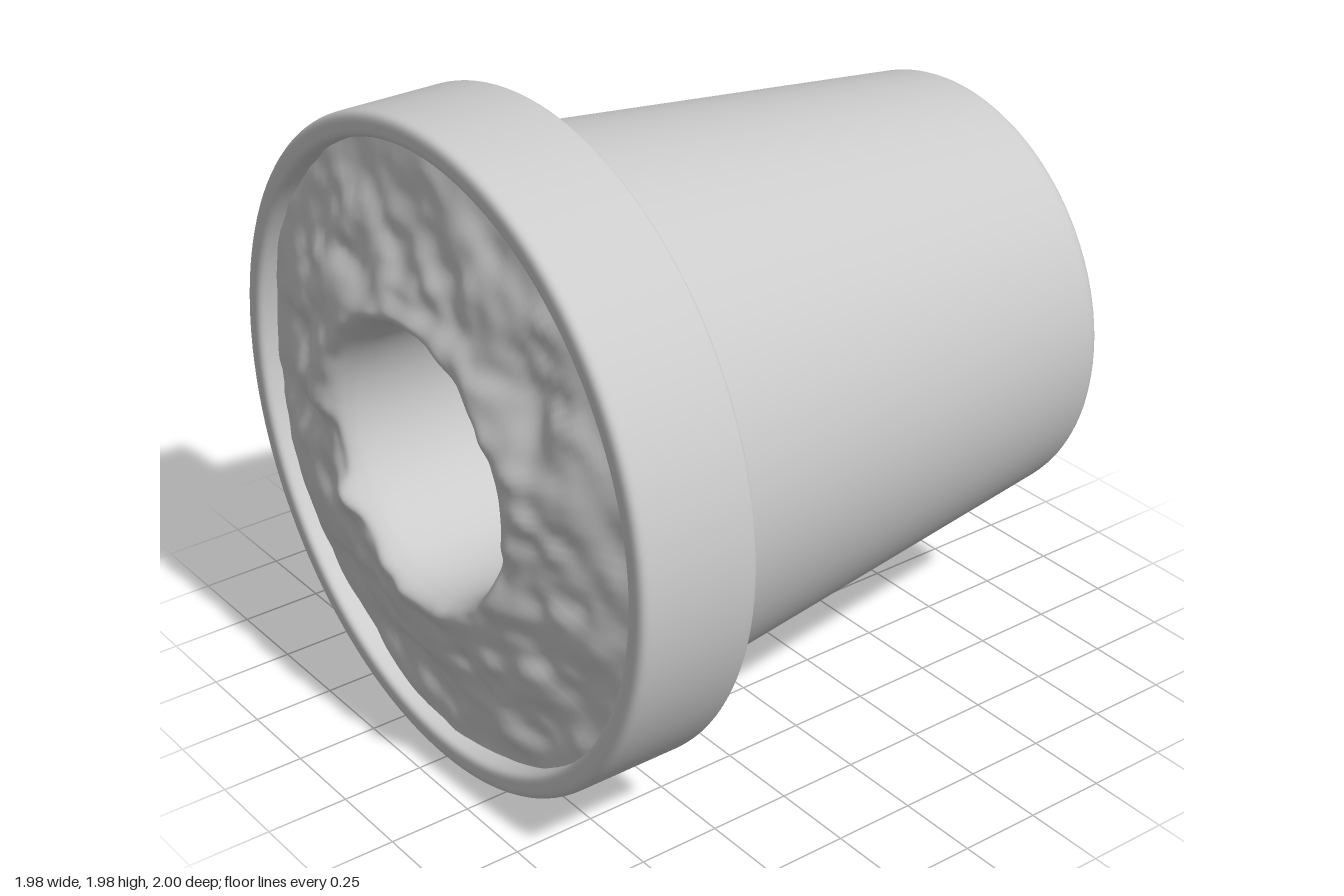
import * as THREE from 'three';
import { mergeVertices } from 'three/addons/utils/BufferGeometryUtils.js';

const RADIUS = 0.99;
const mat = () => new THREE.MeshStandardMaterial({ color: 0xcccccc });

// Profile of [radius, height, cornerRadius] points with rounded corners and support points
function roundedProfile(points) {
  const v = points.map(p => new THREE.Vector2(p[0], p[1]));
  const out = [v[0]];
  for (let i = 1; i < v.length - 1; i++) {
    const r = points[i][2];
    const toPrev = v[i - 1].clone().sub(v[i]).normalize();
    const toNext = v[i + 1].clone().sub(v[i]).normalize();
    const at = (dir, d) => v[i].clone().addScaledVector(dir, d);
    const curve = new THREE.QuadraticBezierCurve(at(toPrev, r), v[i], at(toNext, r));
    out.push(at(toPrev, r * 1.15), ...curve.getPoints(6), at(toNext, r * 1.15));
  }
  out.push(v[v.length - 1]);
  return out;
}

// Smooth value noise on a hashed grid
const hash = (i, j) => {
  const s = Math.sin(i * 127.1 + j * 311.7) * 43758.5453;
  return s - Math.floor(s);
};
function noise(x, y) {
  const i = Math.floor(x), j = Math.floor(y);
  const u = THREE.MathUtils.smoothstep(x - i, 0, 1);
  const w = THREE.MathUtils.smoothstep(y - j, 0, 1);
  const { lerp } = THREE.MathUtils;
  return lerp(lerp(hash(i, j), hash(i + 1, j), u), lerp(hash(i, j + 1), hash(i + 1, j + 1), u), w) - 0.5;
}
const lumps = (x, y) => 0.045 * noise(x * 6 + 9, y * 8 + 4) + 0.025 * noise(x * 13 + 31, y * 16 + 17);

// Soil: mounded ring, highest near the hole and falling away to the rim
function makeSoil() {
  const mound = new THREE.SplineCurve([
    [0.39, 0.86], [0.4, 0.92], [0.43, 0.965], [0.5, 0.965], [0.62, 0.93], [0.78, 0.89], [0.94, 0.86],
  ].map(p => new THREE.Vector2(...p)));
  const profile = mound.getPoints(60).reverse();
  let geo = new THREE.LatheGeometry(profile, 160);
  geo.deleteAttribute('uv');
  geo.deleteAttribute('normal');
  const pos = geo.attributes.position;
  for (let i = 0; i < pos.count; i++) {
    const x = pos.getX(i), z = pos.getZ(i);
    const r = Math.hypot(x, z);
    const fade = THREE.MathUtils.smoothstep(r, 0.39, 0.45) * (1 - 0.6 * THREE.MathUtils.smoothstep(r, 0.75, 0.93));
    pos.setY(i, Math.min(1, pos.getY(i) + fade * lumps(x, z)));
  }
  geo = mergeVertices(geo, 1e-4);
  geo.computeVertexNormals();
  return geo;
}

export function createModel() {
  const group = new THREE.Group();
  const add = (name, geo) => {
    const mesh = new THREE.Mesh(geo, mat());
    mesh.name = name;
    // The turning axis lies along z
    mesh.rotation.x = Math.PI / 2;
    mesh.position.y = RADIUS;
    group.add(mesh);
  };

  // Pot: base, tapered wall, collar and inner lip
  add('pot', new THREE.LatheGeometry(roundedProfile([
    [0, -1],
    [0.664, -1, 0.045],
    [0.842, 0.55, 0.04],
    [RADIUS, 0.55, 0.015],
    [RADIUS, 0.92, 0.03],
    [0.915, 0.92, 0.025],
    [0.91, 0.7],
  ]), 128));

  add('soil', makeSoil());

  // Planting hole sunk into the soil
  add('holeWall', new THREE.LatheGeometry([
    new THREE.Vector2(0.39, 0.87), new THREE.Vector2(0.385, -0.1),
  ], 160));
  const floor = new THREE.CircleGeometry(0.385, 96);
  floor.rotateX(-Math.PI / 2).translate(0, -0.1, 0);
  add('holeFloor', floor);

  return group;
}
